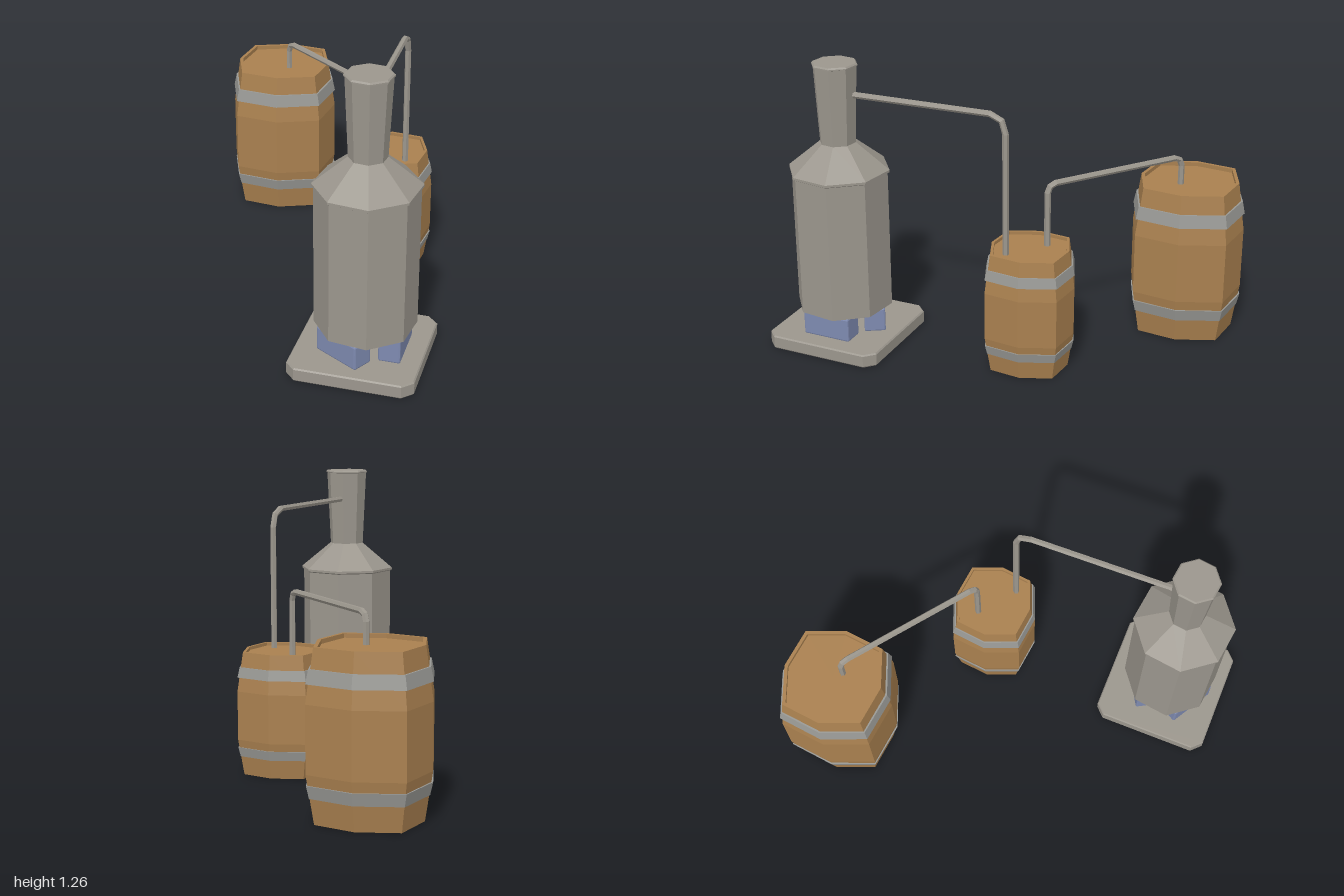
import * as THREE from 'three';
import { RoundedBoxGeometry } from 'three/addons/geometries/RoundedBoxGeometry.js';

const material = (name, color) => {
  const m = new THREE.MeshStandardMaterial({ color });
  m.name = name;
  return m;
};

// Faceted mesh: split vertices so every face gets its own normal
function faceted(name, geometry, mat) {
  const g = geometry.index ? geometry.toNonIndexed() : geometry;
  g.computeVertexNormals();
  const mesh = new THREE.Mesh(g, mat);
  mesh.name = name;
  return mesh;
}

// Eight-sided turned form; diagonal corners can be pulled in
function turned(name, profile, mat, diagonal = 1) {
  const g = new THREE.LatheGeometry(profile.map(([r, y]) => new THREE.Vector2(r, y)), 8);
  const p = g.attributes.position;
  for (let i = 0; i < p.count; i++) {
    const x = p.getX(i), z = p.getZ(i);
    if (Math.abs(x) > 1e-4 && Math.abs(z) > 1e-4) p.setXYZ(i, x * diagonal, p.getY(i), z * diagonal);
  }
  return faceted(name, g, mat);
}

// Polyline followed exactly, with mitred corners
class Polyline extends THREE.Curve {
  constructor(points) {
    super();
    this.points = points.map((p) => new THREE.Vector3(...p));
  }
  getPoint(t, target = new THREE.Vector3()) {
    return target.copy(this.points[Math.round(t * (this.points.length - 1))]);
  }
  getPointAt(t, target) {
    return this.getPoint(t, target);
  }
  getTangentAt(t, target = new THREE.Vector3()) {
    const P = this.points, n = P.length - 1, i = Math.round(t * n);
    target.set(0, 0, 0);
    if (i > 0) target.add(P[i].clone().sub(P[i - 1]).normalize());
    if (i < n) target.add(P[i + 1].clone().sub(P[i]).normalize());
    return target.normalize();
  }
}

function pipe(name, points, mat) {
  return faceted(name, new THREE.TubeGeometry(new Polyline(points), points.length - 1, 0.0135, 6, false), mat);
}

export function createModel() {
  const wood = material('oak wood', 0xa9804f);
  const iron = material('hoop iron', 0x989894);
  const metal = material('still metal', 0x9b968d);
  const blue = material('blue firebrick', 0x7e8ab0);
  const model = new THREE.Group();
  model.name = 'distillery';

  // Barrels: the small one is a scaled copy of the large one
  function barrel(name, x, z, scale) {
    const g = new THREE.Group();
    g.name = name;
    g.add(turned('staves', [
      [0, 0.018], [0.228, 0.018], [0.228, 0], [0.245, 0], [0.28, 0.2], [0.28, 0.47],
      [0.245, 0.685], [0.228, 0.685], [0.228, 0.667], [0, 0.667],
    ], wood, 0.88));
    g.add(turned('lowerHoop', [[0.25, 0.105], [0.266, 0.105], [0.279, 0.157], [0.26, 0.157]], iron, 0.885));
    g.add(turned('upperHoop', [[0.255, 0.547], [0.279, 0.547], [0.266, 0.603], [0.25, 0.603]], iron, 0.885));
    g.scale.setScalar(scale);
    g.position.set(x, 0, z);
    model.add(g);
  }
  barrel('largeBarrel', -0.72, -0.333, 1);
  barrel('smallBarrel', 0.083, -0.333, 0.778);

  // Still on its base
  const still = new THREE.Group();
  still.name = 'still';
  still.position.set(0.675, 0, 0.273);
  still.rotation.y = THREE.MathUtils.degToRad(7);
  model.add(still);

  still.add(turned('boiler', [
    [0, 0.165], [0.211, 0.165], [0.211, 0.778], [0.22, 0.783], [0.22, 0.793], [0.078, 0.91],
    [0.094, 1.245], [0.099, 1.247], [0.099, 1.252], [0.093, 1.258], [0, 1.258],
  ], metal));

  // Three blocks carry the boiler
  for (let i = 0; i < 3; i++) {
    const a = (i * Math.PI * 2) / 3;
    const block = faceted('supportBlock', new RoundedBoxGeometry(0.22, 0.108, 0.092, 1, 0.007), blue);
    block.position.set(Math.sin(a) * 0.126, 0.112, Math.cos(a) * 0.126);
    block.rotation.y = a;
    still.add(block);
  }

  // Square base slab with cut corners
  const h = 0.258, c = 0.218;
  const outline = new THREE.Shape(
    [[h, -c], [h, c], [c, h], [-c, h], [-h, c], [-h, -c], [-c, -h], [c, -h]].map((p) => new THREE.Vector2(...p)));
  const slab = new THREE.ExtrudeGeometry(outline, {
    depth: 0.048, bevelEnabled: true, bevelThickness: 0.006, bevelSize: 0.005, bevelSegments: 1,
  });
  slab.rotateX(-Math.PI / 2);
  slab.translate(0, 0.006, 0);
  const base = faceted('baseSlab', slab, metal);
  base.position.x = -0.01;
  base.rotation.y = THREE.MathUtils.degToRad(30);
  still.add(base);

  // Pipes joining the barrels and the still
  const z = -0.33;
  model.add(pipe('barrelPipe', [
    [-0.673, 0.64, z], [-0.673, 0.755, z], [-0.662, 0.782, z], [-0.635, 0.793, z],
    [-0.038, 0.793, z], [-0.011, 0.782, z], [0, 0.755, z], [0, 0.5, z],
  ], metal));
  model.add(pipe('stillPipe', [
    [0.197, 0.5, -0.327], [0.197, 1.045, -0.327], [0.207, 1.1, -0.313], [0.238, 1.123, -0.272],
    [0.63, 1.123, 0.225],
  ], metal));

  return model;
}
